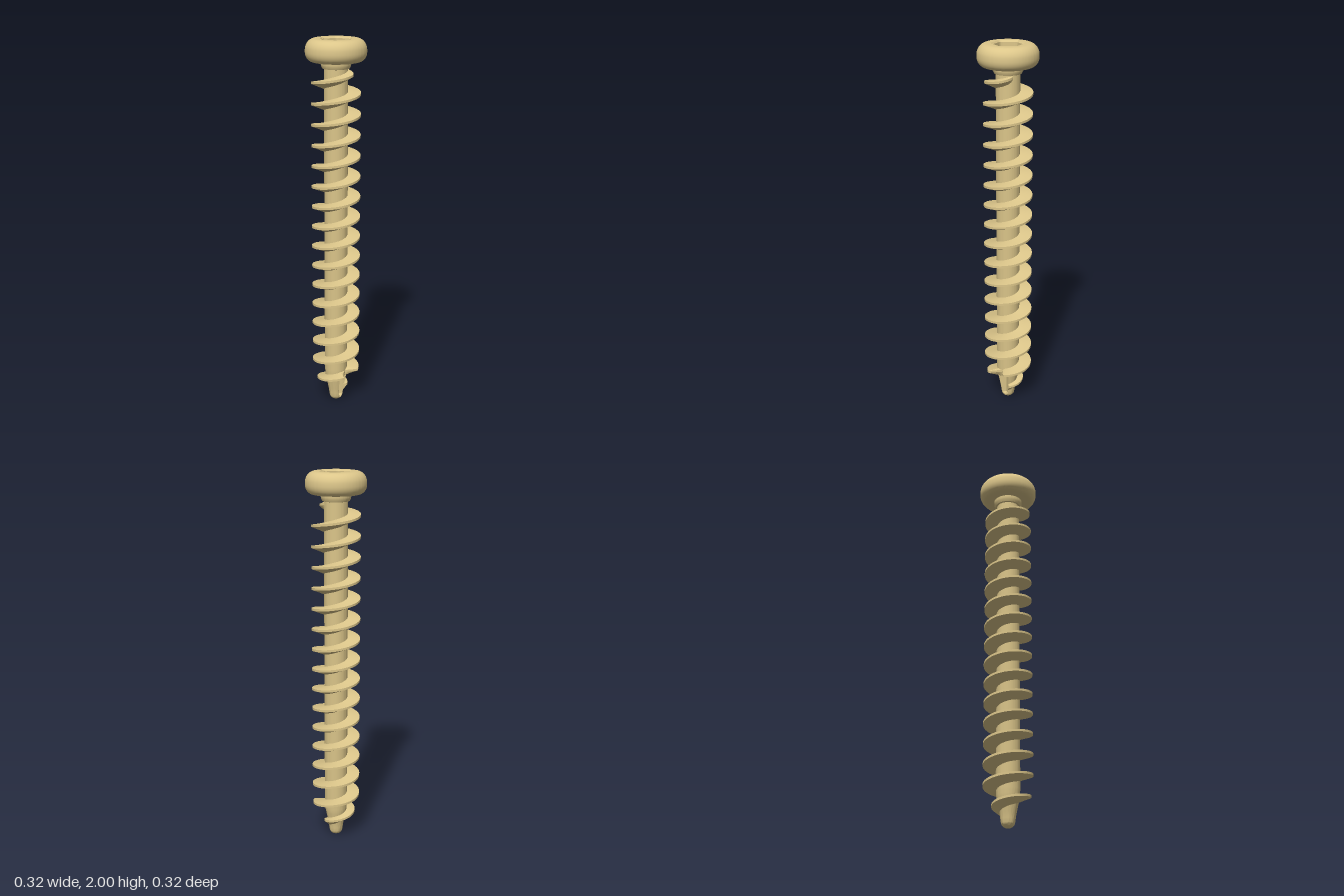
import * as THREE from 'three';
import { toCreasedNormals } from 'three/addons/utils/BufferGeometryUtils.js';

const material = new THREE.MeshStandardMaterial({ color: 0xdcc68a });
const PITCH = 0.1093, TOP_Y = 1.82; // the crest passes +x at TOP_Y
const TAU = Math.PI * 2;

// Surface through rows x cols points; point(i, j) returns [radius, angle, y]
function surface(name, rows, cols, point, wrap, crease = 0.6) {
  const pos = [], index = [];
  for (let i = 0; i < rows; i++) {
    for (let j = 0; j < cols; j++) {
      const [r, a, y] = point(i, j);
      pos.push(r * Math.cos(a), y, -r * Math.sin(a));
    }
  }
  for (let i = 0; i < rows - 1; i++) {
    for (let j = 0; j < (wrap ? cols : cols - 1); j++) {
      const k = (j + 1) % cols;
      const a = i * cols + j, b = i * cols + k, c = a + cols, d = b + cols;
      index.push(a, b, d, a, d, c);
    }
  }
  const geometry = new THREE.BufferGeometry();
  geometry.setAttribute('position', new THREE.Float32BufferAttribute(pos, 3));
  geometry.setIndex(index);
  const mesh = new THREE.Mesh(toCreasedNormals(geometry, crease), material);
  mesh.name = name;
  return mesh;
}

// Piecewise linear lookup in [key, value] pairs
function lookup(table, x) {
  for (let i = 1; i < table.length; i++) {
    const [x0, v0] = table[i - 1], [x1, v1] = table[i];
    if (x <= x1) return v0 + (v1 - v0) * Math.max(0, (x - x0) / (x1 - x0));
  }
  return table[table.length - 1][1];
}

// Shank radius by height, with the rounded point at the bottom
const shankProfile = [
  [0, 0], [0.002, 0.014], [0.008, 0.025], [0.018, 0.033], [0.03, 0.036],
  [0.06, 0.04], [0.1, 0.048], [0.15, 0.058], [0.2, 0.062], [1.87, 0.062],
];

// V-shaped cutting notch on the +x side of the point
function notch(r, angle, y) {
  const c = Math.cos(angle) - Math.abs(Math.sin(angle));
  if (c <= 0 || y > 0.2) return r;
  const depth = 0.014 + Math.max(0, y - 0.165) * 3 + Math.max(0, 0.03 - y);
  return Math.min(r, depth / c);
}

function makeShank() {
  const heights = [0, 0.002, 0.005, 0.008, 0.013, 0.018, 0.024, 0.03];
  for (let y = 0.045; y < 0.21; y += 0.015) heights.push(y);
  heights.push(1.87);
  const seg = 72;
  return surface('shank', heights.length, seg, (i, j) => {
    const a = j / seg * TAU, y = heights[i];
    return [notch(lookup(shankProfile, y), a, y), a, y];
  }, true);
}

// Helical thread: wide root, thin crest, tapering in at both ends
function makeThread() {
  const perTurn = 72;
  const first = Math.round((0.05 - TOP_Y) / PITCH * perTurn);
  const last = Math.round(perTurn / 5);
  const crest = [
    [0.05, 0.03], [0.095, 0.075], [0.13, 0.098], [0.155, 0.114], [0.2, 0.128],
    [TOP_Y - PITCH / 4, 0.128], [TOP_Y, 0.104], [TOP_Y + PITCH / 5, 0.05],
  ];
  const profile = [[0, -0.034], [1, -0.006], [1, 0.006], [0, 0.014]]; // [reach, lift]
  return surface('thread', profile.length, last - first + 1, (i, j) => {
    const turn = (first + j) / perTurn, a = turn * TAU;
    const y = TOP_Y + turn * PITCH;
    const root = lookup(shankProfile, y) - 0.008;
    const [reach, lift] = profile[i];
    const r = root + reach * (lookup(crest, y) - root);
    return [notch(r, a, y), a, y + lift];
  }, false, 0.3);
}

// Radius of a hexagon with clipped corners, points on the x axis
function hexRadius(apothem, a) {
  const sector = Math.PI / 3;
  const r = apothem / Math.cos((a % sector) - sector / 2);
  return Math.min(r, apothem * 1.11);
}

// Pan head with collar, rounded rim and hexagonal socket
function makeHead() {
  const rows = [[0.06, 1.848], [0.07, 1.85], [0.076, 1.862], [0.078, 1.872], [0.078, 1.884], [0.118, 1.884]];
  const arc = (cx, cy, rx, ry, from, to) => {
    for (let k = 1; k <= 8; k++) {
      const t = from + (to - from) * k / 8;
      rows.push([cx + rx * Math.cos(t), cy + ry * Math.sin(t)]);
    }
  };
  arc(0.118, 1.934, 0.04, 0.05, -Math.PI / 2, 0);
  arc(0.108, 1.942, 0.05, 0.058, 0, Math.PI / 2);
  // socket: rim, chamfer, wall and conical floor
  rows.push([0.078, 2, 'hex'], [0.071, 1.992, 'hex'], [0.07, 1.91, 'hex'], [0, 1.885]);
  const seg = 144;
  return surface('head', rows.length, seg, (i, j) => {
    const a = j / seg * TAU, [r, y, hex] = rows[i];
    return [hex ? hexRadius(r, a) : r, a, y];
  }, true, 0.5);
}

export function createModel() {
  const model = new THREE.Group();
  model.name = 'screw';
  model.add(makeShank(), makeThread(), makeHead());
  return model;
}
